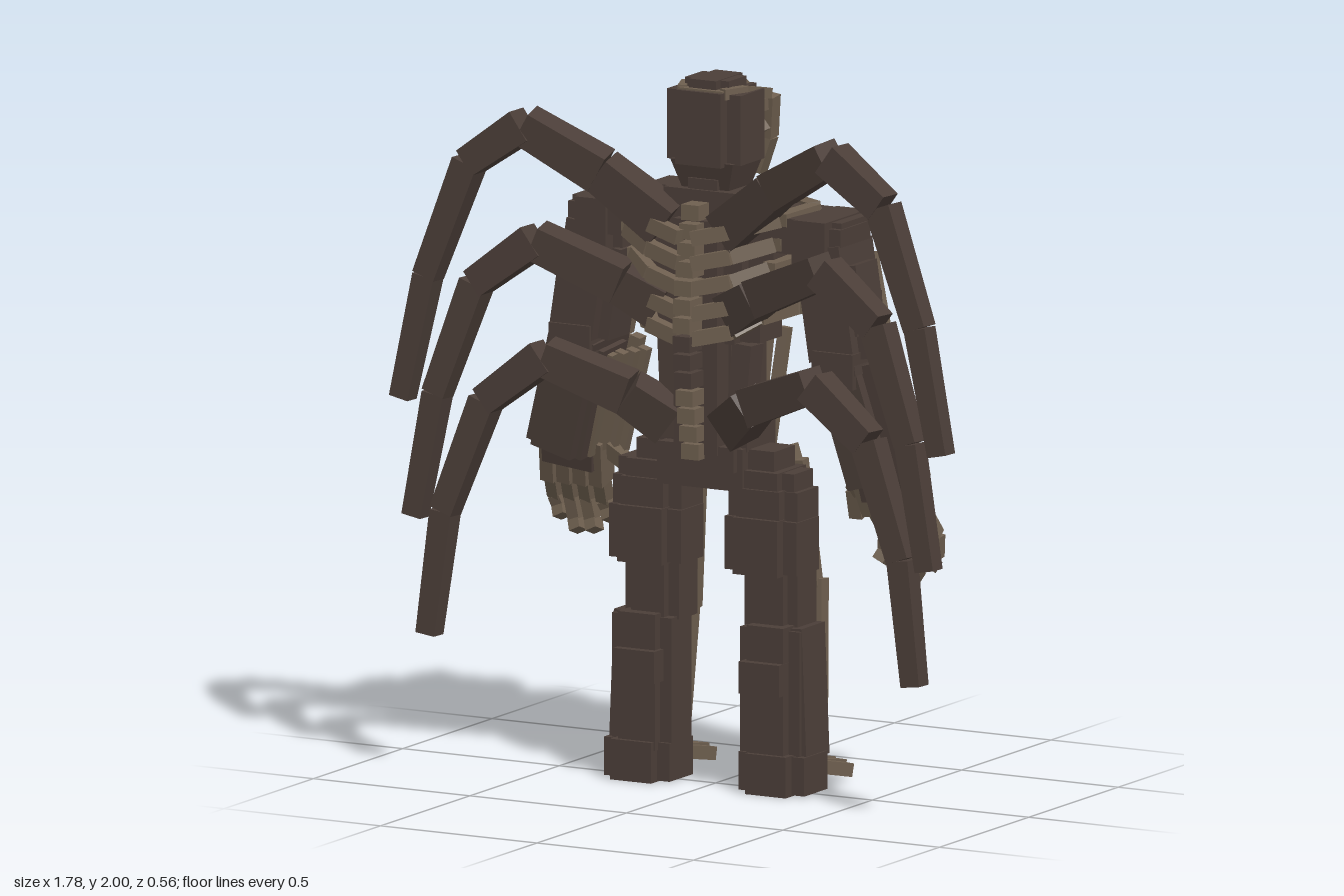
import * as THREE from 'three';

const hide = new THREE.MeshStandardMaterial({ color: 0x4b3e38 });
hide.name = 'dark hide';
const bone = new THREE.MeshStandardMaterial({ color: 0x6e5f4f });
bone.name = 'dull bone';

const V = (p) => new THREE.Vector3(...p);

export function createModel() {
  const root = new THREE.Group();
  root.name = 'skeletalBeast';

  const group = (name, parent = root) => {
    const g = new THREE.Group();
    g.name = name;
    parent.add(g);
    return g;
  };

  // Axis-aligned block given by centre and size
  const block = (g, name, mat, c, size) => {
    const m = new THREE.Mesh(new THREE.BoxGeometry(...size), mat);
    m.name = name;
    m.position.set(...c);
    g.add(m);
  };

  // Two crossed blocks give a notched, roughly round section
  const chunk = (g, name, x, y0, y1, z, w, d) => {
    const y = (y0 + y1) / 2, h = y1 - y0;
    block(g, name, hide, [x, y, z], [w, h * 0.94, d * 0.66]);
    block(g, name, hide, [x, y, z], [w * 0.62, h, d]);
  };

  // Tapered beam between two points: w across, d in depth
  const beam = (g, name, mat, a, b, w, d = w, taper = 1) => {
    const A = V(a), B = V(b), dir = B.clone().sub(A), len = dir.length();
    dir.normalize();
    const ref = Math.abs(dir.z) > 0.8 ? new THREE.Vector3(0, 1, 0) : new THREE.Vector3(0, 0, 1);
    const X = dir.clone().cross(ref).normalize();
    const Z = X.clone().cross(dir);
    const geo = new THREE.BoxGeometry(w, len, d);
    const p = geo.attributes.position;
    for (let i = 0; i < p.count; i++) {
      if (p.getY(i) > 0) p.setXYZ(i, p.getX(i) * taper, p.getY(i), p.getZ(i) * taper);
    }
    geo.computeVertexNormals();
    const m = new THREE.Mesh(geo, mat);
    m.name = name;
    m.quaternion.setFromRotationMatrix(new THREE.Matrix4().makeBasis(X, dir, Z));
    m.position.copy(A.add(B).multiplyScalar(0.5));
    g.add(m);
  };

  // Chain of bone beams along mirrored points
  const chain = (g, name, s, pts, w, d) => {
    for (let i = 0; i + 1 < pts.length; i++) {
      const [a, b] = [pts[i], pts[i + 1]].map(([x, y, z]) => [x * s, y, z]);
      beam(g, name, bone, a, b, w, d);
    }
  };

  // Head, neck and skull straps
  const head = group('head');
  chunk(head, 'skull', 0, 1.76, 1.97, 0, 0.235, 0.2);
  chunk(head, 'crown', 0, 1.93, 2.0, 0, 0.14, 0.15);
  beam(head, 'jaw', hide, [0, 1.77, -0.005], [0, 1.69, -0.005], 0.2, 0.17, 0.75);
  chunk(head, 'neck', 0, 1.62, 1.72, 0, 0.15, 0.15);
  beam(head, 'brow', bone, [-0.1, 1.91, -0.115], [0.1, 1.91, -0.115], 0.035, 0.04);
  beam(head, 'nose', bone, [0, 1.9, -0.11], [0, 1.81, -0.15], 0.03, 0.04);
  beam(head, 'upperTeeth', bone, [-0.055, 1.79, -0.13], [0.055, 1.79, -0.13], 0.025, 0.05);
  beam(head, 'chin', bone, [-0.05, 1.72, -0.15], [0.05, 1.72, -0.15], 0.03, 0.05);
  beam(head, 'backStrap', bone, [-0.07, 1.965, 0.075], [0.07, 1.965, 0.075], 0.02, 0.025);
  for (const s of [-1, 1]) {
    chain(head, 'skullStrap', s, [[0.065, 1.965, 0.075], [0.095, 1.965, 0], [0.1, 1.94, -0.12]], 0.025, 0.03);
    chain(head, 'foreheadStrap', s, [[0.04, 1.975, -0.06], [0.05, 1.92, -0.13]], 0.03, 0.03);
    chain(head, 'cheek', s, [[0.1, 1.93, -0.14], [0.085, 1.81, -0.155], [0.05, 1.71, -0.155]], 0.03, 0.045);
    beam(head, 'cheekbone', bone, [s * 0.09, 1.85, -0.12], [s * 0.03, 1.81, -0.15], 0.03);
    beam(head, 'neckCord', bone, [s * 0.04, 1.72, -0.08], [s * 0.06, 1.62, -0.11], 0.025);
  }

  // Torso, waist and hips
  const torso = group('torso');
  chunk(torso, 'collar', 0, 1.6, 1.69, -0.01, 0.38, 0.19);
  chunk(torso, 'upperChest', 0, 1.42, 1.62, -0.02, 0.42, 0.2);
  chunk(torso, 'lowerChest', 0, 1.26, 1.44, -0.02, 0.33, 0.19);
  chunk(torso, 'waist', 0, 0.96, 1.28, -0.02, 0.25, 0.14);
  block(torso, 'belt', hide, [0, 1.0, -0.01], [0.28, 0.08, 0.16]);
  chunk(torso, 'pelvis', 0, 0.85, 0.97, 0, 0.44, 0.18);
  block(torso, 'sacrum', hide, [0, 0.94, 0.08], [0.24, 0.07, 0.06]);
  block(torso, 'sternum', bone, [0, 1.48, -0.17], [0.04, 0.28, 0.03]);

  // Spine along the +z side
  for (let i = 0; i < 14; i++) {
    const y = 0.96 + i * 0.052;
    block(torso, 'vertebra', i > 3 && i < 7 ? hide : bone, [0, y, 0.11 + 0.05 * Math.sin(i / 13 * Math.PI)], [0.055, 0.044, 0.07]);
  }
  block(torso, 'spineCore', hide, [0, 1.28, 0.08], [0.14, 0.66, 0.07]);

  // Wrapping ribs and belly slats
  for (const s of [-1, 1]) {
    for (let i = 0; i < 5; i++) {
      const y = 1.31 + i * 0.071, k = 0.18 + i * 0.018;
      chain(torso, 'rib', s, [
        [0.02, y - 0.025, 0.165], [0.13, y, 0.14], [k, y + 0.035, 0.08], [k + 0.02, y + 0.04, -0.08],
        [0.16, y + 0.02, -0.2], [0.1, y, -0.22], [0.02, y - 0.02, -0.18]], 0.042, 0.036);
    }
    for (let i = 0; i < 3; i++) {
      const x = s * (0.03 + i * 0.05);
      beam(torso, 'bellySlat', bone, [x * 0.85, 0.93, -0.1], [x * 1.1, 1.28, -0.14], 0.03, 0.03);
    }
    beam(torso, 'hipBone', bone, [s * 0.2, 0.94, -0.1], [s * 0.02, 0.88, -0.12], 0.045, 0.04);
    beam(torso, 'flank', hide, [s * 0.1, 0.98, 0.04], [s * 0.12, 1.26, 0.03], 0.06, 0.07);
  }

  for (const s of [-1, 1]) {
    const side = s > 0 ? 'left' : 'right';

    // Shoulder and arm
    const arm = group(side + 'Arm');
    block(arm, 'shoulderBridge', hide, [s * 0.26, 1.585, -0.03], [0.22, 0.1, 0.22]);
    chunk(arm, 'shoulder', s * 0.35, 1.49, 1.635, -0.03, 0.16, 0.24);
    block(arm, 'shoulderCap', hide, [s * 0.385, 1.565, -0.02], [0.1, 0.1, 0.17]);
    beam(arm, 'upperArm', hide, [s * 0.37, 1.56, -0.02], [s * 0.425, 1.2, -0.02], 0.13, 0.19);
    beam(arm, 'upperArm', hide, [s * 0.375, 1.5, -0.02], [s * 0.415, 1.24, -0.02], 0.19, 0.12);
    block(arm, 'bicepsPlate', hide, [s * 0.43, 1.37, -0.02], [0.1, 0.11, 0.14]);
    beam(arm, 'forearm', hide, [s * 0.41, 1.24, -0.03], [s * 0.505, 0.9, -0.06], 0.13, 0.2);
    beam(arm, 'forearm', hide, [s * 0.425, 1.22, -0.03], [s * 0.515, 0.9, -0.06], 0.18, 0.13);
    block(arm, 'elbow', hide, [s * 0.42, 1.22, 0.03], [0.13, 0.1, 0.11]);
    for (let i = 0; i < 4; i++) {
      const o = (i - 1.5) * 0.042;
      beam(arm, 'upperArmSlat', bone, [s * (0.36 + o), 1.52, -0.125], [s * (0.42 + o), 1.22, -0.125], 0.03, 0.035);
      beam(arm, 'forearmSlat', bone, [s * (0.39 + o), 1.21, -0.14], [s * (0.49 + o * 1.2), 0.89, -0.17], 0.032, 0.035);
      beam(arm, 'innerSlat', bone, [s * (0.3 + i * 0.014), 1.18, -0.13 + i * 0.04],
        [s * (0.385 + i * 0.016), 0.88, -0.15 + i * 0.035], 0.03, 0.03);
    }

    // Hand with four fingers and a thumb
    const hand = group(side + 'Hand', arm);
    beam(hand, 'wrist', hide, [s * 0.5, 0.93, -0.07], [s * 0.51, 0.84, -0.09], 0.16, 0.06);
    const drop = s < 0 ? 0.035 : 0;
    for (let i = 0; i < 4; i++) {
      const x = 0.435 + i * 0.052, y = 0.65 + drop + [0.02, -0.015, -0.02, 0.015][i];
      beam(hand, 'palmBone', bone, [s * (x - 0.02), 0.92, -0.08], [s * x, 0.79, -0.125], 0.042, 0.07);
      chain(hand, 'finger', s, [[x, 0.81, -0.12], [x + 0.016, 0.73, -0.17], [x + 0.008, y, -0.18], [x - 0.006, y - 0.03, -0.165]], 0.036, 0.04);
    }
    chain(hand, 'thumb', s, [[0.42, 0.91, -0.09], [0.36, 0.84, -0.15], [0.36, 0.76, -0.17]], 0.04, 0.04);

    // Leg
    const leg = group(side + 'Leg');
    chunk(leg, 'hip', s * 0.18, 0.83, 0.91, 0, 0.2, 0.16);
    chunk(leg, 'upperThigh', s * 0.185, 0.76, 0.86, 0, 0.22, 0.18);
    chunk(leg, 'thigh', s * 0.185, 0.62, 0.78, 0.01, 0.23, 0.19);
    chunk(leg, 'knee', s * 0.19, 0.45, 0.63, -0.03, 0.17, 0.16);
    chunk(leg, 'shin', s * 0.205, 0.09, 0.475, 0, 0.19, 0.17);
    block(leg, 'calf', hide, [s * 0.2, 0.33, 0.07], [0.13, 0.09, 0.08]);
    beam(leg, 'shinSide', hide, [s * 0.275, 0.47, -0.02], [s * 0.29, 0.1, -0.02], 0.05, 0.13);
    chunk(leg, 'heel', s * 0.215, 0, 0.115, 0, 0.21, 0.2);
    for (let i = 0; i < 3; i++) {
      const o = (i - 1) * 0.05;
      beam(leg, 'thighSlat', bone, [s * (0.16 + o), 0.92, -0.1], [s * (0.2 + o * 0.9), 0.46, -0.145], 0.04, 0.035);
      beam(leg, 'shinSlat', bone, [s * (0.2 + o), 0.58, -0.14], [s * (0.22 + o), 0.1, -0.1], 0.04, 0.04);
    }

    // Splayed toes
    for (let i = 0; i < 4; i++) {
      beam(leg, 'toe', bone, [s * (0.165 + i * 0.03), 0.065, -0.06],
        [s * (0.155 + i * 0.047), 0.03, [-0.24, -0.28, -0.26, -0.22][i]], 0.042, 0.038);
    }

    // Three jointed limbs sprouting from beside the spine
    const limbs = [
      [[0.1, 1.59, 0.1], [0.28, 1.73, 0.15], [0.49, 1.85, 0.21], [0.66, 1.73, 0.22], [0.785, 1.4, 0.235], [0.86, 1.05, 0.245]],
      [[0.12, 1.36, 0.1], [0.22, 1.42, 0.14], [0.46, 1.525, 0.2], [0.64, 1.39, 0.215], [0.755, 1.07, 0.235], [0.82, 0.72, 0.245]],
      [[0.1, 1.03, 0.08], [0.2, 1.11, 0.14], [0.43, 1.2, 0.2], [0.61, 1.06, 0.215], [0.73, 0.74, 0.235], [0.775, 0.39, 0.245]],
    ];
    limbs.forEach((pts, n) => {
      const limb = group(side + 'BackLimb' + (n + 1));
      const widths = [0.12, 0.11, 0.095, 0.08, 0.068];
      widths.forEach((w, i) => {
        const [a, b] = [pts[i], pts[i + 1]].map(([x, y, z]) => [x * s, y, z]);
        beam(limb, 'limbSegment', hide, a, b, w, w * 0.9, 0.88);
      });
    });
  }

  return root;
}
